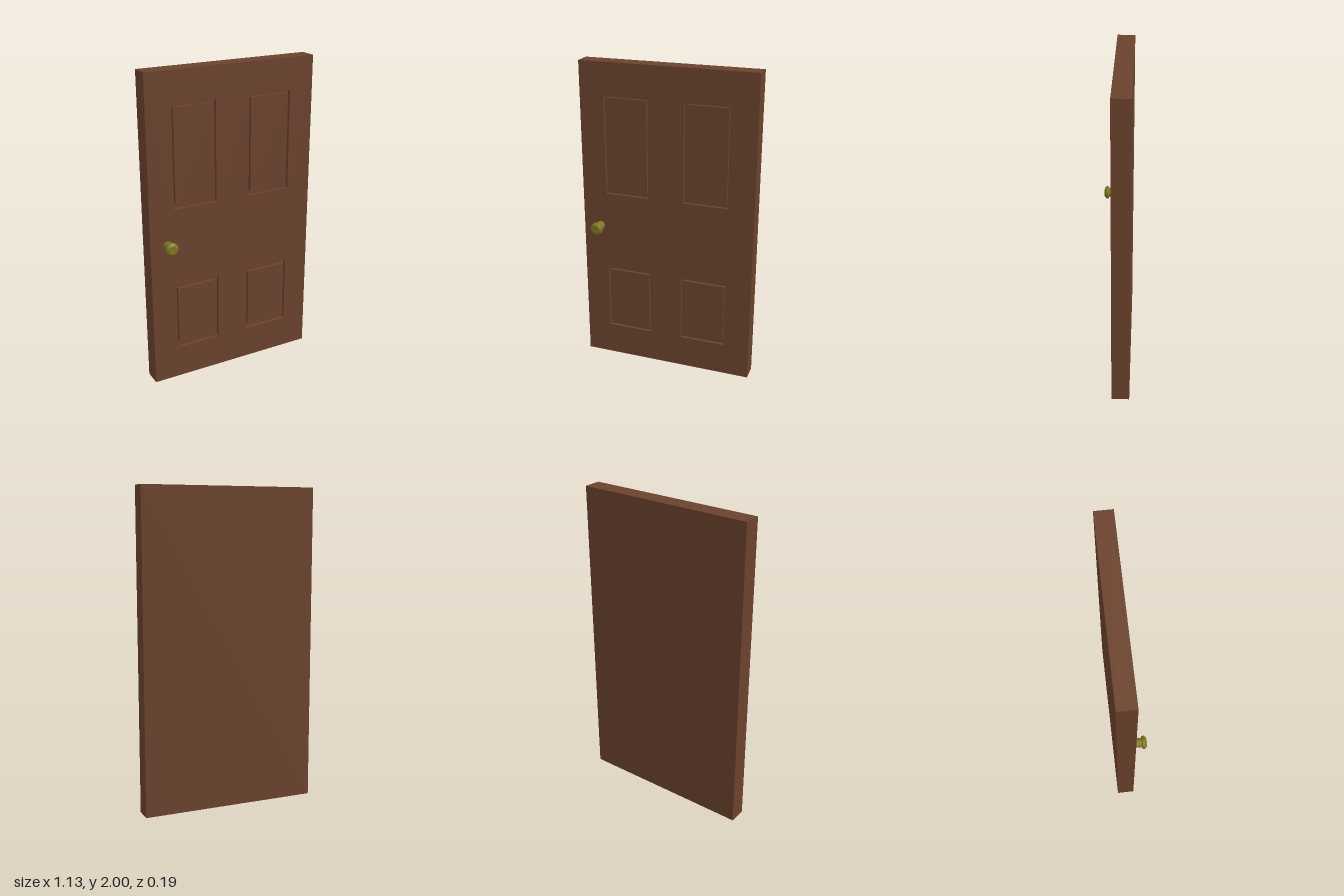
import * as THREE from 'three';
import { toCreasedNormals } from 'three/addons/utils/BufferGeometryUtils.js';

const LEFT = -0.564, RIGHT = 0.562, HEIGHT = 2;
const BACK = -0.1, FRONT = 0.012, GROOVE = 0.02;

// Each panel: outer and inner edges of its groove as [x0, x1, y0, y1]
const PANELS = [
  { name: 'upperRightPanel', outer: [-0.405, -0.114, 1.163, 1.8], inner: [-0.391, -0.128, 1.19, 1.785] },
  { name: 'upperLeftPanel', outer: [0.111, 0.401, 1.163, 1.8], inner: [0.125, 0.388, 1.19, 1.785] },
  { name: 'lowerRightPanel', outer: [-0.405, -0.106, 0.212, 0.653], inner: [-0.391, -0.12, 0.244, 0.631] },
  { name: 'lowerLeftPanel', outer: [0.101, 0.401, 0.212, 0.653], inner: [0.115, 0.388, 0.244, 0.631] },
];

function rectangle(target, [x0, x1, y0, y1]) {
  return target.moveTo(x0, y0).lineTo(x1, y0).lineTo(x1, y1).lineTo(x0, y1).closePath();
}

export function createModel() {
  const model = new THREE.Group();
  model.name = 'door';
  const wood = new THREE.MeshStandardMaterial({ color: 0x6b422d });
  wood.name = 'brown wood';
  const brass = new THREE.MeshStandardMaterial({ color: 0x80751f });
  brass.name = 'dull brass';

  const add = (name, geometry, material, parent = model) => {
    const mesh = new THREE.Mesh(geometry, material);
    mesh.name = name;
    parent.add(mesh);
    return mesh;
  };
  const extrude = (shape, z0, z1) =>
    new THREE.ExtrudeGeometry(shape, { depth: z1 - z0, bevelEnabled: false }).translate(0, 0, z0);

  // Solid back of the door, which is also the floor of the grooves
  const edge = [LEFT, RIGHT, 0, HEIGHT];
  add('doorSlab', extrude(rectangle(new THREE.Shape(), edge), BACK, FRONT - GROOVE), wood);

  // Front frame with an opening for each panel
  const frame = rectangle(new THREE.Shape(), edge);
  for (const { outer } of PANELS) frame.holes.push(rectangle(new THREE.Path(), outer));
  add('doorFrame', extrude(frame, FRONT - GROOVE, FRONT), wood);

  // Raised fields, flush with the frame
  for (const { name, inner } of PANELS) {
    add(name, extrude(rectangle(new THREE.Shape(), inner), FRONT - GROOVE, FRONT), wood);
  }

  // Knob: stem and chamfered head, turned about z
  const knob = new THREE.Group();
  knob.name = 'doorKnob';
  knob.position.set(-0.452, 0.938, FRONT);
  model.add(knob);
  const turned = (points) => toCreasedNormals(
    new THREE.LatheGeometry(points.map(([r, z]) => new THREE.Vector2(r, z)), 12).rotateX(Math.PI / 2), 0.6);
  add('knobStem', turned([[0.03, 0], [0.03, 0.056]]), brass, knob);
  add('knobHead', turned([
    [0, 0.053], [0.036, 0.053], [0.042, 0.058], [0.042, 0.07], [0.028, 0.083], [0, 0.083],
  ]), brass, knob);

  return model;
}
